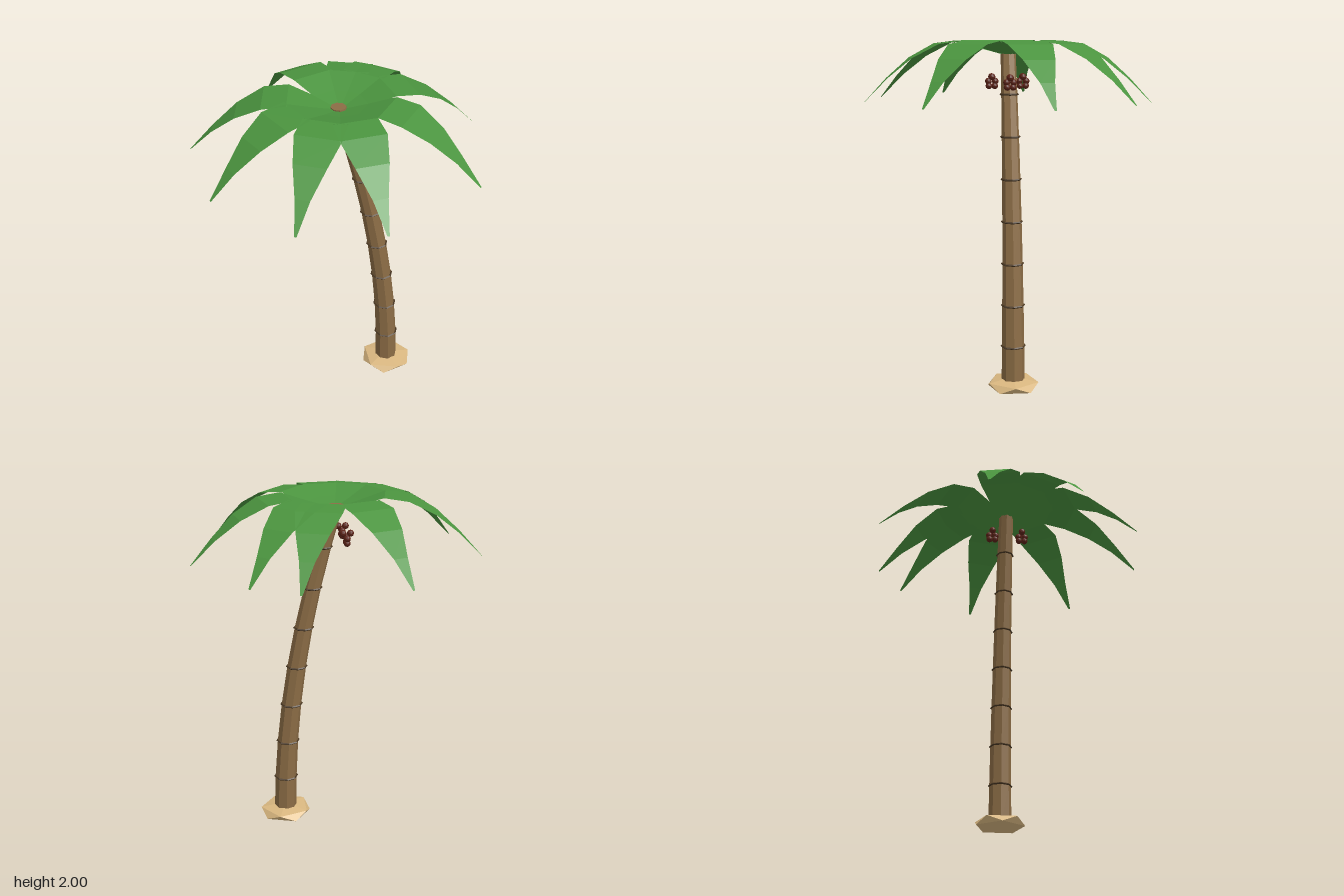
import * as THREE from 'three';

const mat = (name, color, extra = {}) => {
  const m = new THREE.MeshStandardMaterial({ color, ...extra });
  m.name = name;
  return m;
};

const CROWN_Z = -0.02;
const trunkX = (y) => 0.305 - 0.0835 * y * y;
const trunkRadius = (y) => 0.068 - 0.0125 * y;

// Faceted copy of a geometry
function faceted(geometry) {
  const g = geometry.index ? geometry.toNonIndexed() : geometry;
  g.computeVertexNormals();
  return g;
}

// Tapered eight-sided column bent sideways along a parabola
function trunkGeometry(bottom, top) {
  const g = new THREE.CylinderGeometry(trunkRadius(top), trunkRadius(bottom), top - bottom, 8, 8);
  g.translate(0, (top + bottom) / 2, 0);
  const p = g.attributes.position;
  for (let i = 0; i < p.count; i++) p.setX(i, p.getX(i) + trunkX(p.getY(i)));
  return faceted(g);
}

// Flat frond strip along +x: [distance, height, half width]
const FROND = [
  [0, 1.915, 0.02], [0.14, 1.955, 0.08], [0.28, 2.0, 0.122], [0.417, 1.983, 0.128],
  [0.565, 1.905, 0.09], [0.7, 1.792, 0.041], [0.83, 1.657, 0.006],
];
function frondGeometry() {
  const pos = [];
  const index = [];
  FROND.forEach(([r, y, w], i) => {
    pos.push(r, y, w, r, y, -w);
    if (i > 0) {
      const a = 2 * i - 2;
      index.push(a, a + 2, a + 1, a + 1, a + 2, a + 3);
    }
  });
  const g = new THREE.BufferGeometry();
  g.setAttribute('position', new THREE.Float32BufferAttribute(pos, 3));
  g.setIndex(index);
  return faceted(g);
}

export function createModel() {
  const model = new THREE.Group();
  model.name = 'palmTree';

  const bark = mat('bark', 0x8b6c45);
  const darkBark = mat('darkBark', 0x4b3924);
  const sand = mat('sand', 0xd9b780);
  const leaf = mat('leaf', 0x4b943f, { side: THREE.DoubleSide });
  const fruit = mat('fruit', 0x5c2318);

  const add = (parent, name, geometry, material) => {
    const mesh = new THREE.Mesh(geometry, material);
    mesh.name = name;
    parent.add(mesh);
    return mesh;
  };

  // Flattened icosahedron standing on one corner
  const mound = new THREE.IcosahedronGeometry(1, 0);
  mound.rotateX(-Math.atan((1 + Math.sqrt(5)) / 2));
  mound.rotateY(Math.PI / 2);
  mound.scale(0.167, 0.042, 0.167);
  add(model, 'sandMound', faceted(mound), sand).position.set(0.305, 0.042, CROWN_Z);

  // Trunk and its growth rings
  add(model, 'trunk', trunkGeometry(0.03, 1.935), bark).position.z = CROWN_Z;
  for (let i = 0; i < 7; i++) {
    const y = 0.268 + i * 0.238;
    const torus = new THREE.TorusGeometry(trunkRadius(y) + 0.003, 0.006, 4, 8);
    torus.rotateX(Math.PI / 2);
    torus.rotateY(Math.PI / 2);
    add(model, 'trunkRing', faceted(torus), darkBark).position.set(trunkX(y), y, CROWN_Z);
  }

  // Crown of nine drooping fronds
  const crown = new THREE.Group();
  crown.name = 'crown';
  crown.position.z = CROWN_Z;
  model.add(crown);
  const frond = frondGeometry();
  for (const deg of [-110.4, -70.3, -50.6, -11.2, 37.6, 84.4, 116.6, 155, -167.5]) {
    add(crown, 'frond', frond, leaf).rotation.y = -THREE.MathUtils.degToRad(deg);
  }

  // Three bunches of small round fruit
  const berry = faceted(new THREE.IcosahedronGeometry(0.02, 1));
  const offsets = [
    [-0.021, 0.026, 0], [0.021, 0.026, 0],
    [0, 0, -0.02], [0, 0, 0.02],
    [0, -0.027, -0.017], [0, -0.027, 0.017],
  ];
  for (let i = 0; i < 3; i++) {
    const a = (i * Math.PI * 2) / 3;
    const bunch = new THREE.Group();
    bunch.name = 'fruitBunch';
    bunch.position.set(0.11 * Math.cos(a), 1.765, CROWN_Z + 0.105 * Math.sin(a));
    for (const o of offsets) add(bunch, 'fruit', berry, fruit).position.set(...o);
    model.add(bunch);
  }

  return model;
}
